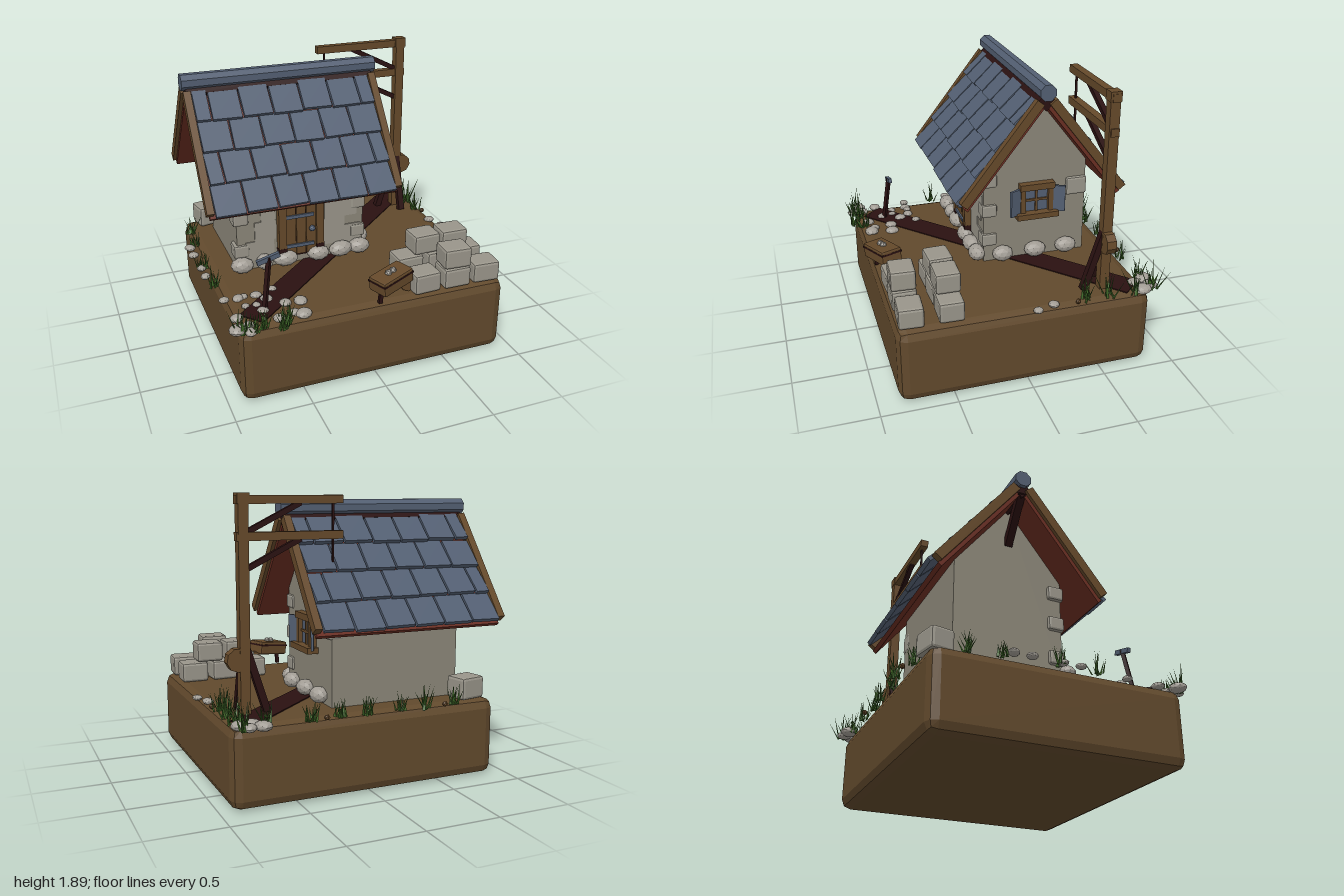
import * as THREE from 'three';
import { mergeGeometries } from 'three/addons/utils/BufferGeometryUtils.js';
import { RoundedBoxGeometry } from 'three/addons/geometries/RoundedBoxGeometry.js';

const paint = (name, color) => {
  const m = new THREE.MeshStandardMaterial({ color });
  m.name = name;
  return m;
};
const earth = paint('earth brown', 0x61492c);
const wood = paint('wood brown', 0x65492a);
const dark = paint('dark maroon wood', 0x2a1111);
const red = paint('red brown trim', 0x6a2e22);
const slate = paint('slate blue', 0x535f72);
const plaster = paint('plaster grey', 0x8b8678);
const stone = paint('stone grey', 0x99958a);
const rock = paint('pale rock', 0xa29d95);
const grass = paint('grass green', 0x3d6526);

const GROUND = 0.525;
let seed = 11;
const rnd = (a, b) => {
  seed = (seed * 16807) % 2147483647;
  return a + (b - a) * seed / 2147483647;
};

// Faceted normals
function flat(geo) {
  const g = geo.index ? geo.toNonIndexed() : geo;
  g.computeVertexNormals();
  return g;
}
function add(parent, name, geo, mat, x = 0, y = 0, z = 0, rx = 0, ry = 0, rz = 0) {
  const m = new THREE.Mesh(flat(geo), mat);
  m.name = name;
  m.position.set(x, y, z);
  m.rotation.set(rx, ry, rz);
  parent.add(m);
  return m;
}
function group(parent, name, x = 0, y = 0, z = 0) {
  const g = new THREE.Group();
  g.name = name;
  g.position.set(x, y, z);
  parent.add(g);
  return g;
}
const box = (w, h, d) => new THREE.BoxGeometry(w, h, d);
const block = (w, h, d, r = 0.015) => new RoundedBoxGeometry(w, h, d, 1, r);
// Square bar between two points
function bar(parent, name, mat, a, b, t) {
  const p = new THREE.Vector3(...a), q = new THREE.Vector3(...b);
  const m = add(parent, name, box(t, t, p.distanceTo(q)), mat);
  m.position.copy(p).lerp(q, 0.5);
  m.lookAt(q);
  return m;
}

// One roof slope: deck, edge boards and four staggered rows of tiles
function roofSide(parent, name, yaw) {
  const pivot = group(parent, name, -0.275, 1.69, -0.27);
  pivot.rotation.y = yaw;
  const s = group(pivot, name + 'Slope');
  s.rotation.x = THREE.MathUtils.degToRad(52);
  add(s, 'roofDeck', box(1.31, 0.03, 0.86), red, 0, 0.015, 0.43);
  for (const k of [-1, 1]) add(s, 'edgeBoard', box(0.05, 0.06, 0.84), wood, k * 0.655, 0.055, 0.42);
  for (let row = 0; row < 4; row++) {
    const end = 0.215 * (row + 1) + 0.005;
    const first = -0.63 - (row % 2 ? 0 : 0.105);
    for (let i = 0; i < 7; i++) {
      const a = Math.max(-0.63, first + i * 0.21), b = Math.min(0.63, first + (i + 1) * 0.21);
      if (b - a < 0.05) continue;
      add(s, 'roofTile', box(b - a - 0.012, 0.028, 0.22), slate, (a + b) / 2, 0.068, end - 0.11 + rnd(-0.006, 0.006),
        -0.14, rnd(-0.025, 0.025), 0);
    }
  }
}

function house(root) {
  const h = group(root, 'house');
  // Walls with gables
  const p = new THREE.Shape([[-0.37, GROUND - 0.01], [0.37, GROUND - 0.01], [0.37, 1.22], [0, 1.69], [-0.37, 1.22]]
    .map(([x, y]) => new THREE.Vector2(x, y)));
  add(h, 'walls', new THREE.ExtrudeGeometry(p, { depth: 0.92, bevelEnabled: false }), plaster, -0.72, 0, -0.27, 0, Math.PI / 2, 0);
  // Exposed masonry patches on the front wall
  for (const [x, y, w, ht] of [[-0.52, 0.8, 0.15, 0.14], [-0.56, 0.66, 0.2, 0.14], [-0.5, 0.95, 0.1, 0.16],
    [-0.02, 0.72, 0.16, 0.2], [0.03, 0.88, 0.24, 0.12], [0.1, 0.98, 0.18, 0.08], [0.08, 0.66, 0.2, 0.18]])
    add(h, 'masonryPatch', box(w, ht, 0.009), stone, x, y, 0.104);

  // Corner stones
  for (const [x, y, z] of [[0.16, 1.13, 0.06], [0.16, 0.91, 0.06], [0.16, 0.69, 0.06], [0.17, 1.03, -0.57],
    [-0.69, 1.13, 0.06], [-0.69, 0.91, 0.06], [-0.69, 0.67, 0.06]])
    add(h, 'cornerStone', block(0.11, z < 0 ? 0.13 : 0.095, z < 0 ? 0.15 : 0.11), stone, x, y, z);
  add(h, 'looseCornerBlock', block(0.19, 0.15, 0.16, 0.02), stone, -0.73, 0.605, -0.75, 0, 0.2, 0);

  // Rounded footing stones
  const foot = (x, z, w, t, d) => add(h, 'footingStone', new THREE.IcosahedronGeometry(1, 1).scale(w, t, d), rock, x, GROUND + 0.06, z, 0, rnd(-0.2, 0.2), 0);
  for (const [x, w] of [[-0.7, 0.08], [-0.54, 0.06], [-0.39, 0.09], [-0.15, 0.08], [0.02, 0.09], [0.16, 0.08]]) foot(x, 0.14, w, 0.055, 0.06);
  for (const [z, w] of [[-0.03, 0.075], [-0.27, 0.08], [-0.5, 0.08]]) foot(0.23, z, 0.06, 0.055, w);

  // Door
  const d = group(h, 'door', -0.272, 0, 0.1);
  add(d, 'doorBack', box(0.3, 0.53, 0.03), dark, 0, 0.85, 0.012);
  for (const k of [-1, 1]) {
    add(d, 'doorPost', box(0.055, 0.48, 0.055), wood, k * 0.136, 0.88, 0.025);
    add(d, 'doorPostFoot', box(0.058, 0.08, 0.058), dark, k * 0.136, 0.62, 0.025);
  }
  add(d, 'doorHeader', box(0.36, 0.06, 0.065), wood, 0, 1.13, 0.025);
  for (let i = -1; i <= 1; i++) add(d, 'doorPlank', box(0.067, 0.5, 0.03), wood, i * 0.072, 0.85, 0.025);
  for (const y of [0.89, 0.67]) add(d, 'doorHinge', box(0.2, 0.024, 0.012), slate, -0.01, y, 0.046);
  add(d, 'doorKnob', new THREE.IcosahedronGeometry(0.022, 1), slate, 0.073, 0.79, 0.06);

  // Window with shutters on the right wall
  const w = group(h, 'window', 0.2, 0, -0.274);
  add(w, 'windowPane', box(0.012, 0.18, 0.18), slate, 0.01, 0.965, 0);
  for (const k of [-1, 1]) {
    add(w, 'windowJamb', box(0.05, 0.2, 0.035), wood, 0.02, 0.96, k * 0.1);
    add(w, 'shutter', box(0.018, 0.19, 0.09), slate, 0.045, 0.965, k * 0.158, 0, k * 0.45, 0);
  }
  add(w, 'windowHeader', box(0.06, 0.045, 0.25), wood, 0.025, 1.07, 0);
  add(w, 'windowSill', box(0.085, 0.04, 0.3), wood, 0.035, 0.86, 0);
  add(w, 'mullion', box(0.025, 0.17, 0.016), wood, 0.015, 0.965, 0);
  add(w, 'crossbar', box(0.025, 0.016, 0.17), wood, 0.015, 0.965, 0);

  // Roof
  roofSide(h, 'frontRoof', 0);
  roofSide(h, 'backRoof', Math.PI);
  add(h, 'ridgeBeam', box(1.32, 0.09, 0.09), dark, -0.275, 1.72, -0.27, Math.PI / 4);
  add(h, 'ridgeCap', new THREE.CylinderGeometry(0.058, 0.058, 1.375, 8).rotateY(Math.PI / 8), slate, -0.272, 1.787, -0.27, 0, 0, Math.PI / 2);
  bar(h, 'ridgeStrut', dark, [-0.71, 1.42, -0.27], [-0.92, 1.7, -0.27], 0.05);
}

function hoist(root) {
  const c = group(root, 'hoist');
  add(c, 'post', box(0.065, 1.36, 0.066), wood, 0.757, 1.2, -0.558);
  add(c, 'postCap', box(0.078, 0.065, 0.074), wood, 0.757, 1.853, -0.558);
  for (const y of [1.845, 1.625]) {
    add(c, 'arm', box(0.7, 0.052, 0.055), wood, 0.45, y, -0.562);
    bar(c, 'armBrace', dark, [0.38, y - 0.02, -0.562], [0.75, y - 0.205, -0.562], 0.034);
  }
  add(c, 'hangingRope', box(0.013, 0.4, 0.013), dark, 0.16, 1.63, -0.562);
  bar(c, 'frontBrace', dark, [0.757, 0.53, -0.42], [0.757, 0.95, -0.55], 0.045);
  bar(c, 'sideBrace', dark, [0.61, 0.53, -0.558], [0.745, 0.95, -0.558], 0.045);
  add(c, 'winchDrum', new THREE.CylinderGeometry(0.075, 0.075, 0.064, 9), wood, 0.8, 0.875, -0.558, Math.PI / 2);
}

function yard(root) {
  const y = group(root, 'yard');
  // Dark path running corner to corner
  add(y, 'path', box(2.2, 0.008, 0.18), dark, 0.01, GROUND + 0.003, -0.01, 0, 0.733, 0);

  // Stacked cut stones
  for (const [x, level, z] of [[0.36, 0, 0.5], [0.58, 0, 0.5], [0.8, 0, 0.5], [0.48, 1, 0.495], [0.69, 1, 0.495],
    [0.36, 0, 0.755], [0.58, 0, 0.755], [0.8, 0, 0.755], [0.58, 1, 0.755]])
    add(y, 'cutStone', block(0.19, 0.138, 0.165, 0.018), stone, x, GROUND + 0.07 + level * 0.142, z, 0, rnd(-0.06, 0.06), 0);

  // Tilted barrow with wheel and small load
  const b = group(y, 'barrow', 0.11, 0.665, 0.795);
  b.rotation.set(0, 0.36, 0.12);
  add(b, 'barrowBox', block(0.26, 0.1, 0.15, 0.012), wood);
  add(b, 'barrowRim', box(0.264, 0.012, 0.154), dark, 0, 0.022, 0);
  for (const x of [-0.02, 0.02]) add(b, 'barrowLoad', new THREE.IcosahedronGeometry(0.025, 0), rock, x, 0.055, 0);
  add(y, 'barrowWheel', new THREE.CylinderGeometry(0.062, 0.062, 0.05, 9), wood, 0.255, 0.59, 0.74, Math.PI / 2, 0, 0);
  bar(y, 'barrowLeg', dark, [0.02, GROUND, 0.83], [0.03, 0.64, 0.83], 0.025);

  // Pickaxe leaning in the ground
  bar(y, 'pickHandle', dark, [-0.695, 0.53, 0.645], [-0.645, 0.87, 0.605], 0.026);
  add(y, 'pickHead', box(0.155, 0.032, 0.025), slate, -0.65, 0.86, 0.605, 0, 0, 0.27);

  // Scattered rocks: x, z, radius
  for (const [x, z, r] of [[-0.91, 0.45, 0.035], [-0.82, 0.46, 0.04], [-0.78, 0.45, 0.03], [-0.7, 0.46, 0.04], [-0.58, 0.42, 0.035],
    [-0.65, 0.53, 0.045], [-0.8, 0.57, 0.03], [-0.73, 0.58, 0.03], [-0.55, 0.62, 0.045], [-0.45, 0.63, 0.05], [-0.89, 0.69, 0.045],
    [-0.71, 0.66, 0.04], [-0.64, 0.78, 0.045], [-0.53, 0.75, 0.04], [-0.48, 0.78, 0.055], [-0.92, 0.82, 0.06], [-0.85, 0.87, 0.04],
    [-0.84, 0.79, 0.04], [-0.96, -0.35, 0.04], [-0.96, -0.23, 0.04], [-0.95, -0.02, 0.035], [-0.95, 0.1, 0.035],
    [0.74, -0.86, 0.06], [0.83, -0.87, 0.05], [0.87, -0.8, 0.06], [0.78, -0.78, 0.05], [0.88, -0.17, 0.04], [0.92, -0.05, 0.035]])
    add(y, 'rock', new THREE.IcosahedronGeometry(r, 1).scale(1, 0.55, 0.9), rock, x, GROUND + 0.005, z, 0, rnd(0, 3), rnd(-0.15, 0.15));
  for (const [x, z] of [[0.9, -0.33], [0.33, -0.86], [-0.5, -0.87]])
    add(y, 'clod', new THREE.IcosahedronGeometry(0.02, 0), wood, x, GROUND + 0.01, z);

  // Grass tufts: x, z, height
  for (const [x, z, s] of [[-0.9, 0.84, 0.16], [-0.83, 0.86, 0.15], [-0.76, 0.82, 0.14], [-0.64, 0.88, 0.17], [-0.61, 0.82, 0.13],
    [-0.93, 0.23, 0.14], [-0.94, -0.05, 0.13], [-0.92, -0.4, 0.12], [-0.9, -0.6, 0.13], [-0.6, -0.84, 0.13], [-0.36, -0.87, 0.16],
    [-0.2, -0.83, 0.13], [0.05, -0.84, 0.13], [0.22, -0.82, 0.13], [0.42, -0.85, 0.13], [0.72, -0.84, 0.15], [0.88, -0.87, 0.2],
    [0.89, -0.73, 0.17], [0.87, -0.56, 0.2], [0.88, -0.4, 0.16]]) {
    const blades = [];
    for (let i = 0; i < 11; i++) {
      const len = s * rnd(0.6, 1.15);
      const g = new THREE.ConeGeometry(0.011, len, 3).translate(0, len / 2, 0).scale(1, 1, 0.5);
      g.rotateX(rnd(0.05, 0.55)).rotateY(i * 2.4).translate(rnd(-0.035, 0.035), 0, rnd(-0.03, 0.03));
      blades.push(g);
    }
    add(y, 'grassTuft', mergeGeometries(blades), grass, x, GROUND - 0.01, z);
  }
}

export function createModel() {
  const root = new THREE.Group();
  root.name = 'stoneCottageYard';
  add(root, 'groundSlab', new RoundedBoxGeometry(1.84, GROUND, 1.7, 1, 0.066), earth, 0.01, GROUND / 2, 0.01);
  house(root);
  hoist(root);
  yard(root);
  return root;
}
